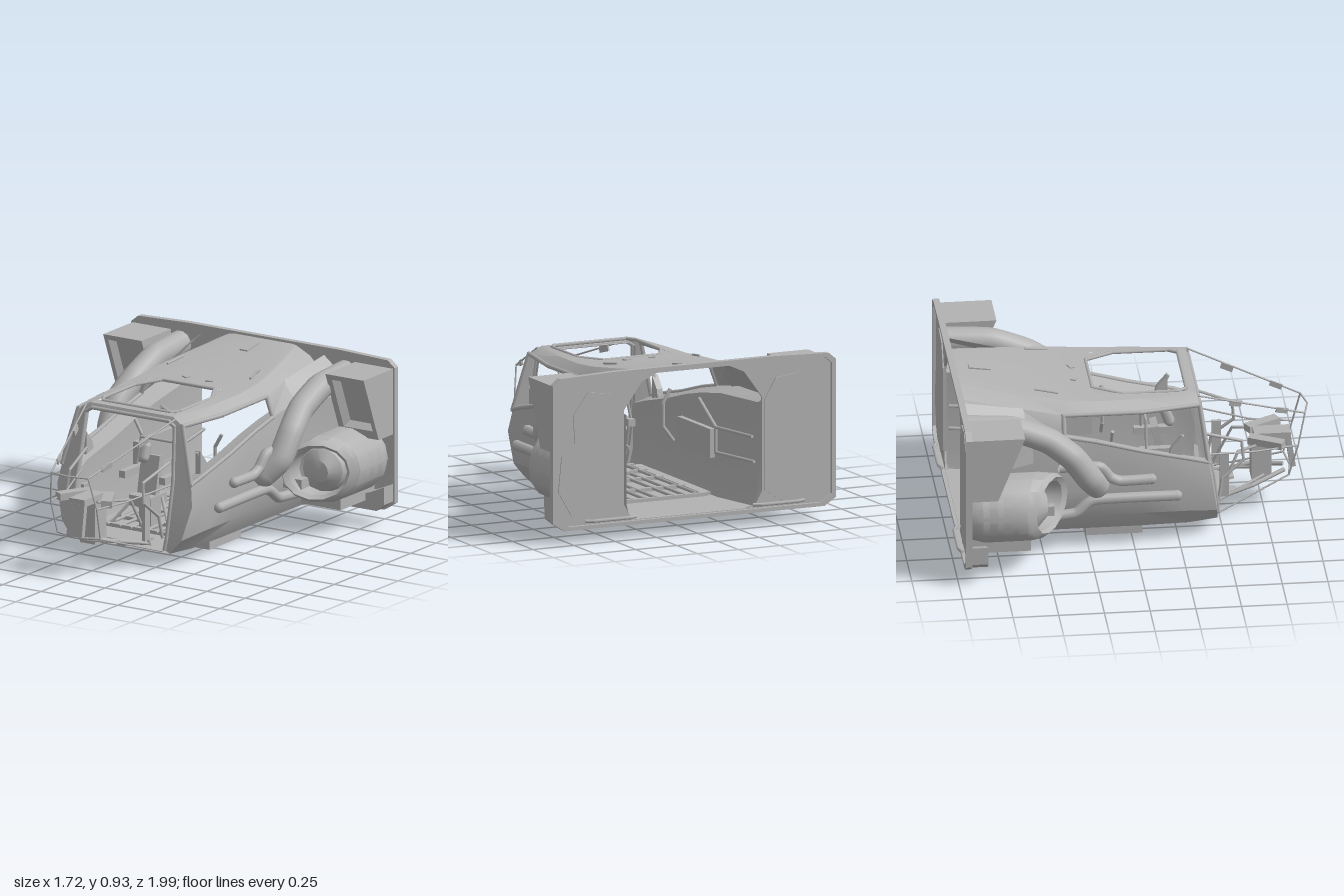
import * as THREE from 'three';
import { toCreasedNormals } from 'three/addons/utils/BufferGeometryUtils.js';

const V = (p) => new THREE.Vector3(...p);
const hullGrey = new THREE.MeshStandardMaterial({ color: 0xb2b2b2, side: THREE.DoubleSide });
hullGrey.name = 'hullGrey';

function add(parent, name, geo, pos = [0, 0, 0], rot = [0, 0, 0]) {
  const m = new THREE.Mesh(geo, hullGrey);
  m.name = name;
  m.position.set(...pos);
  m.rotation.set(...rot);
  parent.add(m);
  return m;
}
const box = (parent, name, size, pos, rot) => add(parent, name, new THREE.BoxGeometry(...size), pos, rot);

// Skin between rows of points; skip(i, j) leaves an opening
function loft(rows, skip = () => false) {
  const v = [];
  for (let i = 0; i < rows.length - 1; i++) {
    for (let j = 0; j < rows[i].length - 1; j++) {
      if (skip(i, j)) continue;
      const [a, b, c, d] = [rows[i][j], rows[i][j + 1], rows[i + 1][j + 1], rows[i + 1][j]];
      v.push(...a, ...b, ...c, ...a, ...c, ...d);
    }
  }
  const g = new THREE.BufferGeometry();
  g.setAttribute('position', new THREE.Float32BufferAttribute(v, 3));
  return toCreasedNormals(g, 0.45);
}

// Straight bars through a list of points
function bars(parent, name, pts, r = 0.006) {
  const grp = new THREE.Group();
  grp.name = name;
  for (let i = 0; i < pts.length - 1; i++) {
    const a = V(pts[i]), b = V(pts[i + 1]), d = b.clone().sub(a);
    const m = add(grp, name + 'Bar', new THREE.CylinderGeometry(r, r, d.length() + r, 6));
    m.position.copy(a).add(b).multiplyScalar(0.5);
    m.quaternion.setFromUnitVectors(new THREE.Vector3(0, 1, 0), d.normalize());
  }
  parent.add(grp);
}

function pipe(parent, name, pts, r, sides = 10, tipped = true) {
  const curve = new THREE.CatmullRomCurve3(pts.map(V), false, 'catmullrom', 0.25);
  add(parent, name, new THREE.TubeGeometry(curve, 40, r, sides));
  if (tipped) add(parent, name + 'Tip', new THREE.SphereGeometry(r, sides, 6), pts[0]);
}

function plate(parent, name, pts, depth, pos, holes = [], rot) {
  const s = new THREE.Shape(pts.map((p) => new THREE.Vector2(...p)));
  for (const h of holes) s.holes.push(new THREE.Path(h.map((p) => new THREE.Vector2(...p))));
  return add(parent, name, new THREE.ExtrudeGeometry(s, { depth, bevelEnabled: false }), pos, rot);
}
const mirrored = (pts) => [...pts, ...pts.map(([x, y]) => [-x, y]).reverse()];

function hullHalf(side) {
  // z, floor half, belt x, sill x, sill y, roof edge x, y, roof shoulder x, roof y
  const stations = [
    [0.31, 0.36, 0.46, 0.43, 0.51, 0.36, 0.79, 0.29, 0.835],
    [0.05, 0.37, 0.46, 0.43, 0.57, 0.385, 0.785, 0.32, 0.838],
    [-0.2, 0.37, 0.46, 0.43, 0.64, 0.39, 0.785, 0.33, 0.843],
    [-0.38, 0.37, 0.46, 0.43, 0.68, 0.39, 0.79, 0.33, 0.858],
    [-0.62, 0.37, 0.46, 0.44, 0.72, 0.36, 0.83, 0.29, 0.887],
    [-0.935, 0.38, 0.46, 0.46, 0.72, 0.31, 0.88, 0.22, 0.93]];
  const front = [[0, 0.09, 0.47], [0.32, 0.09, 0.47], [0.39, 0.17, 0.46], [0.44, 0.36, 0.43],
    [0.42, 0.48, 0.41], [0.34, 0.79, 0.37], [0.27, 0.83, 0.36], [0.24, 0.83, 0.36], [0, 0.83, 0.36]];
  const rows = [front, ...stations.map(([z, f, b, sx, sy, ex, ey, ix, ry]) =>
    [[0, 0.09, z], [f, 0.09, z], [b - 0.02, 0.2, z], [b, 0.36, z], [sx, sy, z], [ex, ey, z], [ix, ry - 0.005, z],
      [Math.min(0.25, ix - 0.03), ry, z], [0, ry, z]])];
  add(side, 'hullShell', loft(rows, (i, j) => (j === 4 && i < 4) || (j === 7 && (i === 1 || i === 2))));
  // Inner wall, with a ledge to the window sill
  const wall = [[0.41, 0.31, 0.42, 0.48], ...stations.map((s) => [s[0], s[0] < -0.8 ? 0.4 : 0.33, s[3], s[4]])];
  add(side, 'innerWall', loft(wall.map(([z, x, sx, sy]) =>
    [[0, 0.115, z], [x - 0.02, 0.115, z], [x, 0.2, z], [x, sy - 0.03, z], [sx, sy, z]])));
  // Windscreen surround
  const inner = [[0.29, 0.11, 0.475], [0.3, 0.17, 0.47], [0.31, 0.36, 0.445], [0.31, 0.48, 0.42], [0.29, 0.78, 0.375], [0.25, 0.805, 0.37], [0.22, 0.805, 0.37], [0, 0.805, 0.37]];
  add(side, 'windscreenSurround', loft([front.slice(1), inner]));
  add(side, 'surroundReturn', loft([inner, inner.map(([x, y, z]) => [x, y, z - 0.035])]));
  bars(side, 'windscreenFrame', inner, 0.011);
  bars(side, 'sideWindowFrame', [rows[0][4], rows[1][4], rows[2][4], rows[3][4], rows[4][4], rows[4][5], rows[2][5], rows[0][5], rows[0][4]], 0.013);
  bars(side, 'roofHatchFrame', [[0, 0.836, 0.31], [0.22, 0.836, 0.31], [0.25, 0.836, 0.26], [0.25, 0.837, -0.05], [0.17, 0.842, -0.2], [0, 0.842, -0.2]], 0.01);
  add(side, 'roofHatchCorner', loft([[[0.25, 0.838, -0.05], [0.17, 0.842, -0.2]], [[0.25, 0.843, -0.2], [0.25, 0.843, -0.2]]]));
  bars(side, 'roofSeam', [[0.25, 0.888, -0.52], [0.27, 0.87, -0.4]], 0.006);
  box(side, 'roofVent', [0.04, 0.008, 0.03], [0.075, 0.853, -0.29], [0.06, 0.4, 0]);
}

function engine(side) {
  // Nacelle rings: radius, z, how much the ring slants outward
  const rings = [[0, -0.49, 0], [0.06, -0.5, 0], [0.115, -0.54, 0.2], [0.13, -0.57, 0.5], [0.135, -0.49, 0.65], [0.155, -0.47, 0.65],
    [0.178, -0.5, 0.6], [0.19, -0.57, 0.3], [0.19, -0.85, 0], [0.165, -0.935, 0]];
  const n = 14;
  add(side, 'engineNacelle', loft(rings.map(([r, z, k]) => Array.from({ length: n + 1 }, (_, i) => {
    const a = (i / n) * Math.PI * 2, dx = r * Math.cos(a);
    return [0.65 + dx, 0.38 + r * Math.sin(a), z - dx * k];
  }))));
  for (const z of [-0.69, -0.77, -0.85])
    for (const a of [1.15, 1.75])
      add(side, 'nacelleSlat', new THREE.CylinderGeometry(0.196, 0.196, 0.035, 6, 1, true, a, 0.5), [0.65, 0.38, z], [Math.PI / 2, 0, 0]);
  box(side, 'nacelleMount', [0.26, 0.1, 0.34], [0.6, 0.2, -0.765]);
  box(side, 'nacelleBracket', [0.14, 0.06, 0.3], [0.5, 0.3, -0.6]);

  // Exhaust duct and its small feeder pipes
  pipe(side, 'mainDuct', [[0.49, 0.41, -0.21], [0.555, 0.49, -0.26], [0.565, 0.62, -0.35], [0.545, 0.72, -0.48], [0.54, 0.8, -0.68], [0.54, 0.82, -0.935]], 0.072, 12);
  pipe(side, 'upperFeeder', [[0.49, 0.43, 0.09], [0.495, 0.43, -0.08], [0.5, 0.46, -0.14], [0.51, 0.53, -0.2], [0.52, 0.54, -0.42]], 0.03, 8);
  pipe(side, 'lowerFeeder', [[0.485, 0.32, 0.23], [0.49, 0.32, -0.22], [0.5, 0.25, -0.33], [0.5, 0.23, -0.55]], 0.03, 8);

  // Upper corner pod: slanted front with a recessed pocket
  const face = (x0, x1, t0, t1, back) => [[x0, t1], [x1, t1], [x1, t0], [x0, t0], [x0, t1]]
    .map(([x, y]) => [x, y, -0.64 - (0.89 - y) * 0.4 - back]);
  const outer = face(0.6, 0.85, 0.52, 0.89, 0);
  const pocket = face(0.655, 0.81, 0.6, 0.84, 0.05);
  add(side, 'upperPod', loft([outer.map(([x, y]) => [x, y, -0.935]), outer, face(0.635, 0.825, 0.57, 0.86, 0), pocket]));
  add(side, 'podPocket', loft([pocket.slice(0, 2), pocket.slice(2, 4).reverse()]));
  // Lower corner pod
  plate(side, 'lowerPod', [[0.58, 0.1], [0.8, 0.1], [0.85, 0.14], [0.85, 0.24], [0.76, 0.2], [0.6, 0.15]], 0.1, [0, 0, -0.94]);
  // Fairing from the hull to the bulkhead
  add(side, 'rearFairing', loft([[[0.44, 0.68, -0.55], [0.45, 0.54, -0.55]], [[0.6, 0.74, -0.935], [0.6, 0.52, -0.935]]]));
  add(side, 'fairingTop', loft([[[0.36, 0.83, -0.6], [0.44, 0.68, -0.55]], [[0.4, 0.9, -0.935], [0.6, 0.74, -0.935]]]));
}

function noseCage(side) {
  const tip = [0.12, 0.6, 0.97], chin = [0.14, 0.24, 0.88], low = [0.28, 0.1, 0.48];
  bars(side, 'noseCage', [[0.29, 0.82, 0.37], tip, [0.15, 0.42, 0.93], chin, low], 0.005);
  bars(side, 'noseTip', [tip, [0, 0.6, 0.995]], 0.005);
  bars(side, 'noseChin', [chin, [0, 0.23, 0.9]], 0.006);
  bars(side, 'noseRail', [[0.29, 0.46, 0.42], [0.2, 0.42, 0.7], [0.15, 0.42, 0.93]], 0.005);
  box(side, 'cageTab', [0.01, 0.035, 0.07], [0.22, 0.73, 0.58], [0.3, -0.3, 0]);
  box(side, 'cageTab', [0.01, 0.03, 0.07], [0.155, 0.64, 0.84], [0.3, -0.3, 0]);
  // Handrails and console arms
  bars(side, 'handrail', [[0.27, 0.58, 0.4], [0.24, 0.51, 0.61], [0.25, 0.4, 0.62], [0.27, 0.3, 0.5], [0.28, 0.18, 0.48]], 0.009);
  bars(side, 'floorStrut', [[0.07, 0.42, 0.8], [0.15, 0.4, 0.6], [0.2, 0.13, 0.48], [0.05, 0.2, 0.75]], 0.008);
  bars(side, 'trackRail', [[0.04, 0.22, 0.86], [0.13, 0.18, 0.68], [0.17, 0.13, 0.48]], 0.012);
  box(side, 'consoleArm', [0.06, 0.04, 0.2], [0.11, 0.43, 0.76], [0, 0.5, 0]);
  box(side, 'sidePanel', [0.02, 0.26, 0.05], [0.2, 0.29, 0.52]);
}

function cabinSide(side) {
  bars(side, 'cabinRail', [[0.28, 0.62, -0.1], [0.24, 0.55, -0.1], [0.24, 0.42, -0.1], [0.3, 0.34, -0.1]], 0.01);
  for (const x of [0.05, 0.12, 0.2]) bars(side, 'floorRail', [[x, 0.14, 0.3], [x, 0.14, -0.6]], 0.01);
  box(side, 'floorPanel', [0.06, 0.02, 0.85], [0.26, 0.13, -0.15]);
  bars(side, 'rearRail', [[0.37, 0.5, -0.92], [0.31, 0.5, -0.6], [0.31, 0.62, -0.4]], 0.01);
  bars(side, 'rearRail', [[0.38, 0.36, -0.92], [0.31, 0.36, -0.6], [0.31, 0.5, -0.6]], 0.01);
  // Wall lockers and window-side instruments
  box(side, 'wallLocker', [0.04, 0.16, 0.4], [0.32, 0.4, -0.35]);
  plate(side, 'windowInstrument', [[0, 0], [0.07, 0.02], [0.06, 0.06], [0, 0.13]], 0.035, [0.355, 0.5, 0.27], [], [0, Math.PI / 2, 0]);
  bars(side, 'instrumentStalk', [[0.37, 0.5, 0.22], [0.37, 0.62, 0.27]], 0.012);
  box(side, 'armRest', [0.04, 0.04, 0.2], [0.13, 0.42, 0.16]);
  bars(side, 'seatLeg', [[0.08, 0.3, 0.18], [0.2, 0.13, 0.28]], 0.009);
}

function rearPanel(side) {
  plate(side, 'rearPanel', [[0.43, 0.2], [0.55, 0.13], [0.74, 0.16], [0.82, 0.3], [0.8, 0.5], [0.72, 0.56], [0.73, 0.72], [0.64, 0.84], [0.5, 0.82], [0.43, 0.7]],
    0.008, [0, 0, -0.952]);
  bars(side, 'bottomLatch', [[0.36, 0.13, -0.965], [0.4, 0.13, -0.98], [0.62, 0.13, -0.98], [0.66, 0.13, -0.965]], 0.01);
}

export function createModel() {
  const model = new THREE.Group();
  model.name = 'cockpitModule';
  const left = new THREE.Group();
  left.name = 'leftSide';
  for (const build of [hullHalf, engine, noseCage, cabinSide, rearPanel]) build(left);
  const right = left.clone();
  right.name = 'rightSide';
  right.scale.x = -1;
  model.add(left, right);

  // Rear bulkhead with the cabin opening and a raised rim
  const edge = mirrored([[0.79, 0.085], [0.86, 0.13], [0.86, 0.895], [0.815, 0.932], [0.5, 0.943]]);
  const opening = mirrored([[0.37, 0.11], [0.42, 0.2], [0.42, 0.72], [0.31, 0.87], [0.22, 0.91]]);
  plate(model, 'rearBulkhead', edge, 0.015, [0, 0, -0.945], [opening]);
  const rimHole = edge.map(([x, y]) => [x * 0.972, 0.51 + (y - 0.51) * 0.95]);
  plate(model, 'bulkheadRim', edge, 0.033, [0, 0, -0.965], [rimHole]);

  // Keel box and belly plate
  box(model, 'keelBox', [0.62, 0.08, 0.31], [0, 0.055, -0.095]);
  box(model, 'keelHatch', [0.5, 0.008, 0.2], [0, 0.014, -0.095]);
  box(model, 'bellyPlate', [0.56, 0.012, 0.4], [0, 0.088, -0.5]);
  box(model, 'roofMarker', [0.05, 0.015, 0.12], [0, 0.912, -0.8], [0.14, 0, 0]);

  // Pilot seat
  box(model, 'seatBase', [0.14, 0.06, 0.16], [0, 0.29, 0.2]);
  box(model, 'seatBack', [0.12, 0.26, 0.04], [0, 0.4, 0.18], [-0.2, 0, 0]);
  add(model, 'headrest', new THREE.CapsuleGeometry(0.03, 0.06, 4, 8), [0, 0.56, 0.23], [-0.35, 0, 0]);
  box(model, 'seatPost', [0.08, 0.16, 0.1], [0, 0.19, 0.18]);
  bars(model, 'rollBar', [[-0.15, 0.4, 0.1], [-0.11, 0.6, 0.1], [0.11, 0.6, 0.1], [0.15, 0.4, 0.1]], 0.008);
  for (const z of [-0.6, -0.35, -0.08, 0.12, 0.28]) box(model, 'floorCrossBar', [0.5, 0.02, 0.025], [0, 0.135, z]);

  // Nose console, footplate and pedestal
  box(model, 'console', [0.1, 0.23, 0.11], [0, 0.29, 0.74]);
  box(model, 'consoleTop', [0.1, 0.04, 0.2], [0, 0.43, 0.8]);
  box(model, 'noseBlock', [0.1, 0.18, 0.03], [0, 0.33, 0.9], [-0.15, 0, 0]);
  plate(model, 'footPlate', mirrored([[0.17, -0.4], [0.12, -0.6], [0.06, -0.6], [0.04, -0.54]]), 0.015, [0, 0.13, 0], [], [-Math.PI / 2, 0, 0]);
  return model;
}
